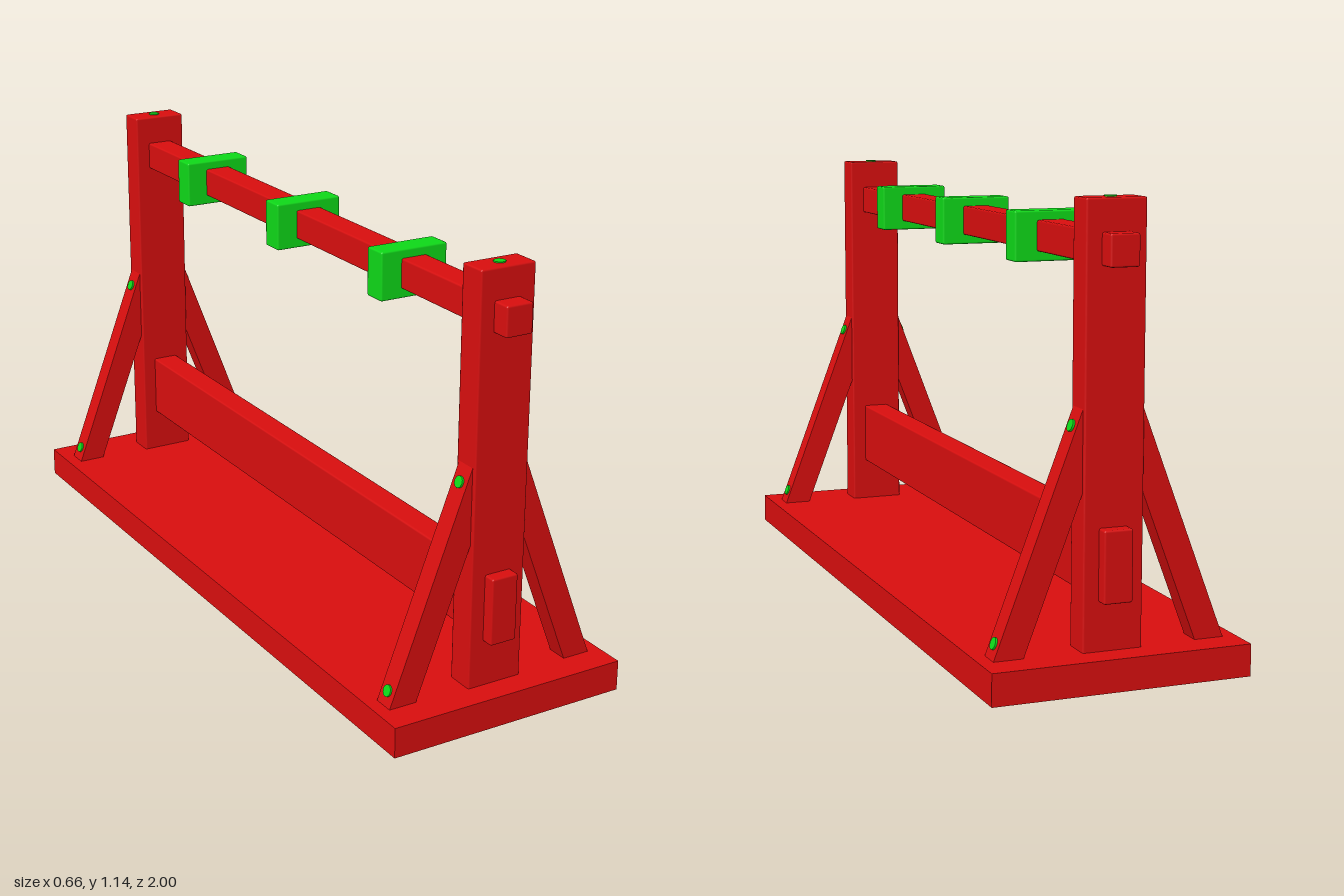
import * as THREE from 'three';
import { RoundedBoxGeometry } from 'three/addons/geometries/RoundedBoxGeometry.js';

export function createModel() {
  const model = new THREE.Group();
  const red = new THREE.MeshStandardMaterial({ color: 0xd80e0e });
  red.name = 'red';
  const green = new THREE.MeshStandardMaterial({ color: 0x0ed818 });
  green.name = 'green';

  const add = (name, geometry, material, x, y, z, parent = model) => {
    const mesh = new THREE.Mesh(geometry, material);
    mesh.name = name;
    mesh.position.set(x, y, z);
    parent.add(mesh);
    return mesh;
  };
  // Box given by its centre in x and z and by its bottom and top heights
  const beam = (name, w, y0, y1, d, z = 0, material = red, parent = model) =>
    add(name, new RoundedBoxGeometry(w, y1 - y0, d, 1, 0.005), material, 0, (y0 + y1) / 2, z, parent);
  const rectangle = (w, d, PathType = THREE.Shape) => new PathType([
    new THREE.Vector2(-w / 2, -d / 2), new THREE.Vector2(w / 2, -d / 2),
    new THREE.Vector2(w / 2, d / 2), new THREE.Vector2(-w / 2, d / 2),
  ]);
  // Upright rectangular frame, open above and below
  const frame = (name, w, d, wall, y0, y1, z, parent = model) => {
    const shape = rectangle(w, d);
    shape.holes.push(rectangle(w - 2 * wall, d - 2 * wall, THREE.Path));
    const geometry = new THREE.ExtrudeGeometry(shape, { depth: y1 - y0, bevelEnabled: false });
    geometry.rotateX(-Math.PI / 2);
    return add(name, geometry, red, 0, y0, z, parent);
  };

  // Base tray, hollow underneath
  add('basePlate', new THREE.BoxGeometry(0.66, 0.02, 2), red, 0, 0.07, 0);
  frame('baseRim', 0.66, 2, 0.015, 0, 0.06, 0);

  // Long rails passing through both posts
  beam('topRail', 0.074, 0.985, 1.062, 1.96);
  beam('lowerRail', 0.074, 0.2, 0.376, 1.926);

  // Blocks around the top rail
  for (const z of [-0.515, 0, 0.51]) beam('railBlock', 0.19, 0.96, 1.085, 0.066, z, green);

  // Slanted brace outline, cut flush with the post and the base
  const braceShape = new THREE.Shape([
    new THREE.Vector2(0.226, 0.065), new THREE.Vector2(0.301, 0.065),
    new THREE.Vector2(0.07, 0.672), new THREE.Vector2(0.07, 0.473),
  ]);
  const braceGeometry = new THREE.ExtrudeGeometry(braceShape, { depth: 0.056, bevelEnabled: false });
  braceGeometry.translate(0, 0, -0.028);
  const screwGeometry = new THREE.CylinderGeometry(0.015, 0.015, 0.01, 12);
  const slant = Math.atan2(0.58, 0.22);

  for (const end of [1, -1]) {
    const support = new THREE.Group();
    support.name = end > 0 ? 'frontSupport' : 'backSupport';
    support.position.z = end * 0.893;
    model.add(support);

    beam('post', 0.152, 0.062, 1.14, 0.076, 0, red, support);
    frame('postSocket', 0.152, 0.076, 0.018, 0.03, 0.064, 0, support);
    add('postScrew', screwGeometry, green, 0, 1.138, 0, support);

    // Braces on both sides, the second turned half round
    for (const turn of [0, Math.PI]) {
      const side = new THREE.Group();
      side.name = turn ? 'rightBrace' : 'leftBrace';
      side.rotation.y = turn;
      support.add(side);
      add('brace', braceGeometry, red, 0, 0, 0, side);
      for (const y of [0.115, 0.615]) {
        const x = 0.295 - (y - 0.08) * 0.22 / 0.58;
        add('braceScrew', screwGeometry, green, x, y, 0, side).rotation.z = -slant;
      }
    }
  }
  return model;
}
